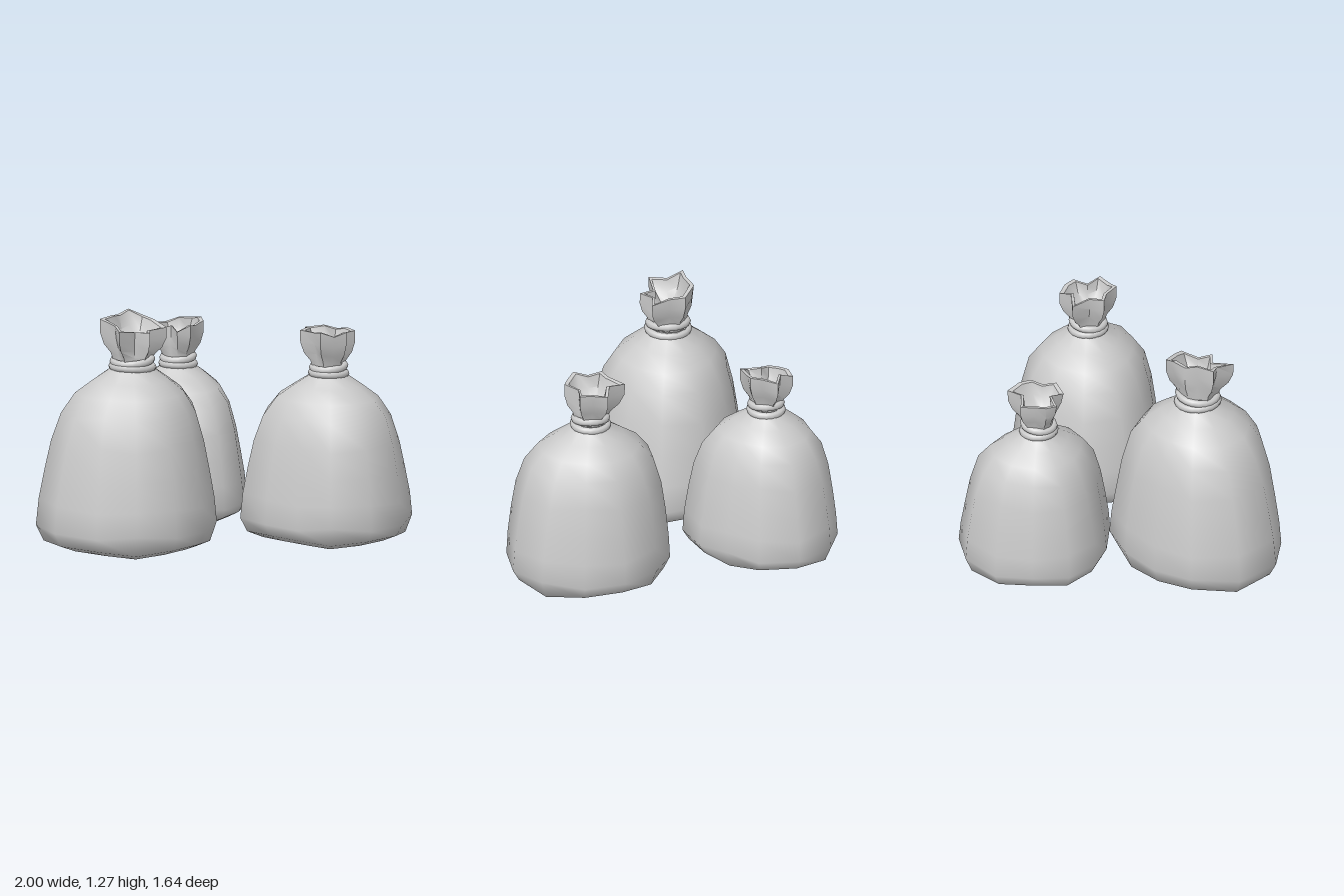
import * as THREE from 'three';
import { toCreasedNormals } from 'three/addons/utils/BufferGeometryUtils.js';

const material = new THREE.MeshStandardMaterial({ color: 0xcccccc, side: THREE.DoubleSide });
const STEP = Math.PI / 6;

// Shared side profile: [height as a share of the neck height, spread from neck to base outline]
const PROFILE = [[0.13, 1], [0.27, 0.96], [0.43, 0.88], [0.6, 0.79], [0.76, 0.66], [0.86, 0.48], [0.93, 0.25], [0.985, 0.05], [1.02, 0]];

// Joins closed rings of points into a skin
function loft(rings) {
  const n = rings[0].length, index = [];
  for (let r = 0; r < rings.length - 1; r++) {
    for (let i = 0; i < n; i++) {
      const j = (i + 1) % n;
      const a = r * n + i, b = r * n + j, c = b + n, d = a + n;
      index.push(a, d, c, a, c, b);
    }
  }
  const geometry = new THREE.BufferGeometry();
  geometry.setAttribute('position', new THREE.Float32BufferAttribute(rings.flat(2), 3));
  geometry.setIndex(index);
  geometry.computeVertexNormals();
  return geometry;
}

// Point at distance r from (cx, cz); angles run from -x by way of the back
const polar = (cx, cz, angle, r) => [cx - r * Math.cos(angle), cz - r * Math.sin(angle)];
const mix = THREE.MathUtils.lerp;

function bodyGeometry({ neck, radius, base, fullness, radii }) {
  const [cx, cz] = base;
  const [nx, ny, nz] = neck;
  const angleAt = (i) => (i + 0.5) * STEP;
  // rounded underside, closed at the middle
  const under = [[0.02, 0], [0.012, 0.45], [0, 0.74], [0.03, 0.92]].map(([y, f]) =>
    radii.map((r, i) => {
      const [x, z] = polar(cx, cz, angleAt(i), r * f);
      return [x, y + f * 0.015 * (1 + Math.sin(i * 1.9)), z];
    }));
  // sides narrowing from the base outline to the round neck, fuller at front and back
  const sides = PROFILE.map(([t, f], k) => radii.map((r, i) => {
    const angle = angleAt(i);
    const spread = f + fullness * Math.abs(Math.sin(angle)) * Math.sin(Math.PI * f * f);
    const [x, z] = polar(mix(nx, cx, spread), mix(nz, cz, spread), angle, mix(radius, r, spread));
    const sway = k < 5 ? 0.012 * Math.sin(i * 2.3 + k) : 0;
    return [x, t * ny + sway, z];
  }));
  return loft([...under, ...sides]);
}

function mouthGeometry({ neck, radius, mouth }) {
  const [nx, ny, nz] = neck;
  // ring at share t of the mouth height, its radius set by a rule
  const ring = (t, radiusAt) => mouth.radii.map((r, i) => {
    const angle = mouth.turn + i * STEP;
    const [dx, dz] = polar(0, 0, angle, r);
    const top = mouth.height + mouth.slopeX * dx + mouth.slopeZ * dz + 0.012 * Math.sin(i * 2.6);
    const [x, z] = polar(nx, nz, angle, radiusAt(r, i));
    return [x, mix(ny, top, t), z];
  });
  // flared outside with pleats: [height, spread, pleat depth]
  const outside = [[0, 0, 0], [0.3, 0.24, 0.05], [0.48, 0.58, 0.1], [0.72, 0.9, 0.05], [1, 1, 0]].map(([t, f, pleat]) =>
    ring(t, (r, i) => mix(radius * 0.85, r, f) * (1 + (i % 2 ? -pleat : pleat))));
  // thin rim and a hollow that turns round towards its floor: [height, scale, roundness]
  const inside = [[0.99, 0.84, 0], [0.72, 0.72, 0.35], [0.5, 0.42, 0.8], [0.42, 0, 1]].map(([t, s, round]) =>
    ring(t, (r) => mix(r, 0.13, round) * s));
  return toCreasedNormals(loft([...outside, ...inside]), 0.8);
}

function buildSack(name, sack) {
  const group = new THREE.Group();
  group.name = name;
  const add = (part, geometry) => {
    const mesh = new THREE.Mesh(geometry, material);
    mesh.name = part;
    group.add(mesh);
    return mesh;
  };
  add('body', bodyGeometry(sack));
  add('gatheredMouth', mouthGeometry(sack));

  // two turns of cord around the neck, slightly tilted
  for (let k = 0; k < 2; k++) {
    const cord = add('cord', new THREE.TorusGeometry(sack.radius * (1 - 0.06 * k), 0.021, 8, 20));
    cord.position.set(sack.neck[0], sack.neck[1] + k * 0.036, sack.neck[2]);
    cord.rotation.set(Math.PI / 2 + (k ? 0.06 : -0.03), k ? 0.09 : -0.04, 0);
  }
  return group;
}

export function createModel() {
  const model = new THREE.Group();
  model.name = 'tiedSacks';
  model.add(
    buildSack('largeSack', {
      neck: [-0.495, 0.985, 0.28], radius: 0.108, base: [-0.5, 0.3], fullness: 0.04,
      radii: [0.518, 0.475, 0.42, 0.443, 0.495, 0.512, 0.45, 0.43, 0.43, 0.425, 0.43, 0.497],
      mouth: {
        turn: 0.17, height: 1.22, slopeX: -0.12, slopeZ: -0.25,
        radii: [0.175, 0.115, 0.13, 0.155, 0.17, 0.15, 0.185, 0.1, 0.15, 0.09, 0.19, 0.12],
      },
    }),
    buildSack('smallSack', {
      neck: [-0.01, 0.83, -0.42], radius: 0.085, base: [0, -0.4], fullness: 0.05,
      radii: [0.39, 0.385, 0.405, 0.435, 0.44, 0.383, 0.35, 0.375, 0.425, 0.405, 0.355, 0.37],
      mouth: {
        turn: 0.35, height: 1.045, slopeX: 0.13, slopeZ: 0,
        radii: [0.125, 0.13, 0.145, 0.1, 0.17, 0.14, 0.135, 0.11, 0.14, 0.14, 0.07, 0.13],
      },
    }),
    buildSack('mediumSack', {
      neck: [0.575, 0.9, 0.38], radius: 0.09, base: [0.56, 0.4], fullness: 0.08,
      radii: [0.465, 0.465, 0.44, 0.435, 0.435, 0.425, 0.455, 0.45, 0.435, 0.385, 0.355, 0.395],
      mouth: {
        turn: 0.09, height: 1.13, slopeX: -0.06, slopeZ: 0.02,
        radii: [0.156, 0.12, 0.186, 0.11, 0.155, 0.14, 0.145, 0.08, 0.14, 0.142, 0.152, 0.11],
      },
    }),
  );
  return model;
}
